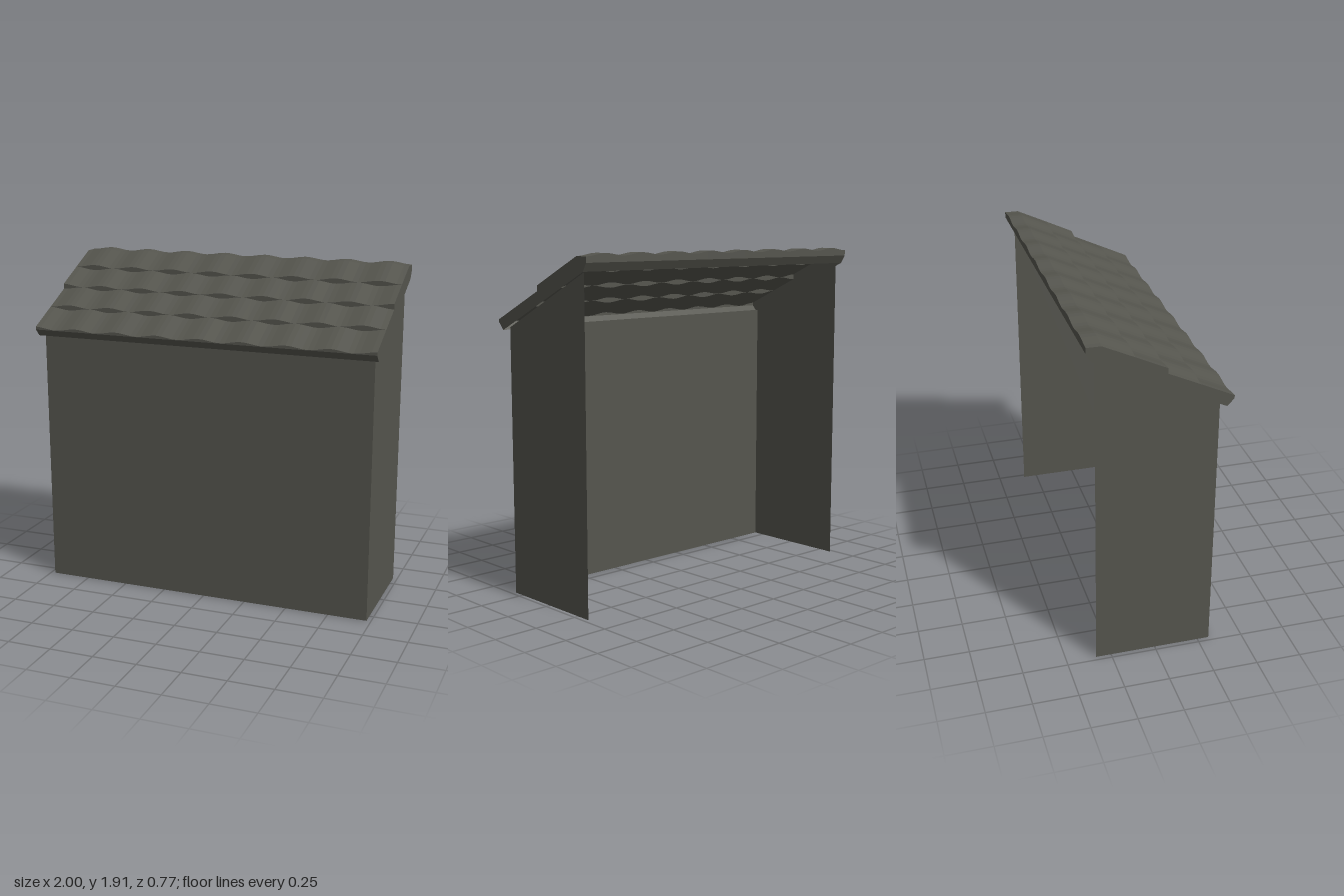
import * as THREE from 'three';

export function createModel() {
  const group = new THREE.Group();
  const slate = new THREE.MeshStandardMaterial({ color: 0x55554e, side: THREE.DoubleSide, flatShading: true });
  slate.name = 'dark slate grey';

  const add = (name, geometry) => {
    const mesh = new THREE.Mesh(geometry, slate);
    mesh.name = name;
    group.add(mesh);
    return mesh;
  };

  // Flat panel in the z-y plane, placed at x
  const sidePanel = (name, points, x) => {
    const shape = new THREE.Shape(points.map(([z, y]) => new THREE.Vector2(z, y)));
    const geometry = new THREE.ShapeGeometry(shape);
    geometry.rotateY(-Math.PI / 2);
    geometry.translate(x, 0, 0);
    add(name, geometry);
  };

  // Walls: open at the back and bottom
  const wallX = 0.975, frontZ = 0.315, backZ = -0.335, frontTop = 1.495, backTop = 1.812;
  const front = new THREE.PlaneGeometry(wallX * 2, frontTop);
  front.translate(0, frontTop / 2, frontZ);
  add('frontWall', front);
  for (const [side, s] of [['left', 1], ['right', -1]]) {
    sidePanel(side + 'Wall', [[frontZ, 0], [frontZ, frontTop], [backZ, backTop], [backZ, 0]], s * wallX);
  }

  // Roof profile from eave to back: z, y, wave height, wave offset (rows alternate)
  const wave = 0.015, odd = 0.5, even = 0;
  const profile = [
    [0.345, 1.48, 0, 0],
    [0.382, 1.52, 0, 0],
    [0.382, 1.537, wave, odd],
    [0.2, 1.623, wave, odd],
    [0.2, 1.638, wave, even],
    [0.03, 1.718, wave, even],
    [0.03, 1.733, wave, odd],
    [-0.138, 1.813, wave, odd],
    [-0.138, 1.828, wave, even],
    [-0.306, 1.907, wave, even],
    [-0.384, 1.907, wave, even],
    [-0.384, 1.86, 0, 0],
    [-0.357, 1.815, 0, 0],
  ];
  const roofY = ([, y, amp, offset], x) =>
    y - amp * (0.5 + 0.5 * Math.cos(2 * Math.PI * (x * 4 + offset)));

  // Wavy tile sheet lofted along x
  const columns = 64;
  const positions = [], indices = [];
  for (let i = 0; i <= columns; i++) {
    const x = -1 + (2 * i) / columns;
    for (const p of profile) positions.push(x, roofY(p, x), p[0]);
  }
  const n = profile.length;
  for (let i = 0; i < columns; i++) {
    for (let j = 0; j < n - 1; j++) {
      const a = i * n + j, b = a + n;
      indices.push(a, b, a + 1, b, b + 1, a + 1);
    }
  }
  const tiles = new THREE.BufferGeometry();
  tiles.setAttribute('position', new THREE.Float32BufferAttribute(positions, 3));
  tiles.setIndex(indices);
  tiles.computeVertexNormals();
  add('roofTiles', tiles);

  // Gable ends closing the sheet
  for (const [side, x] of [['left', 1], ['right', -1]]) {
    sidePanel(side + 'RoofEnd', profile.map((p) => [p[0], roofY(p, x)]), x);
  }
  return group;
}
